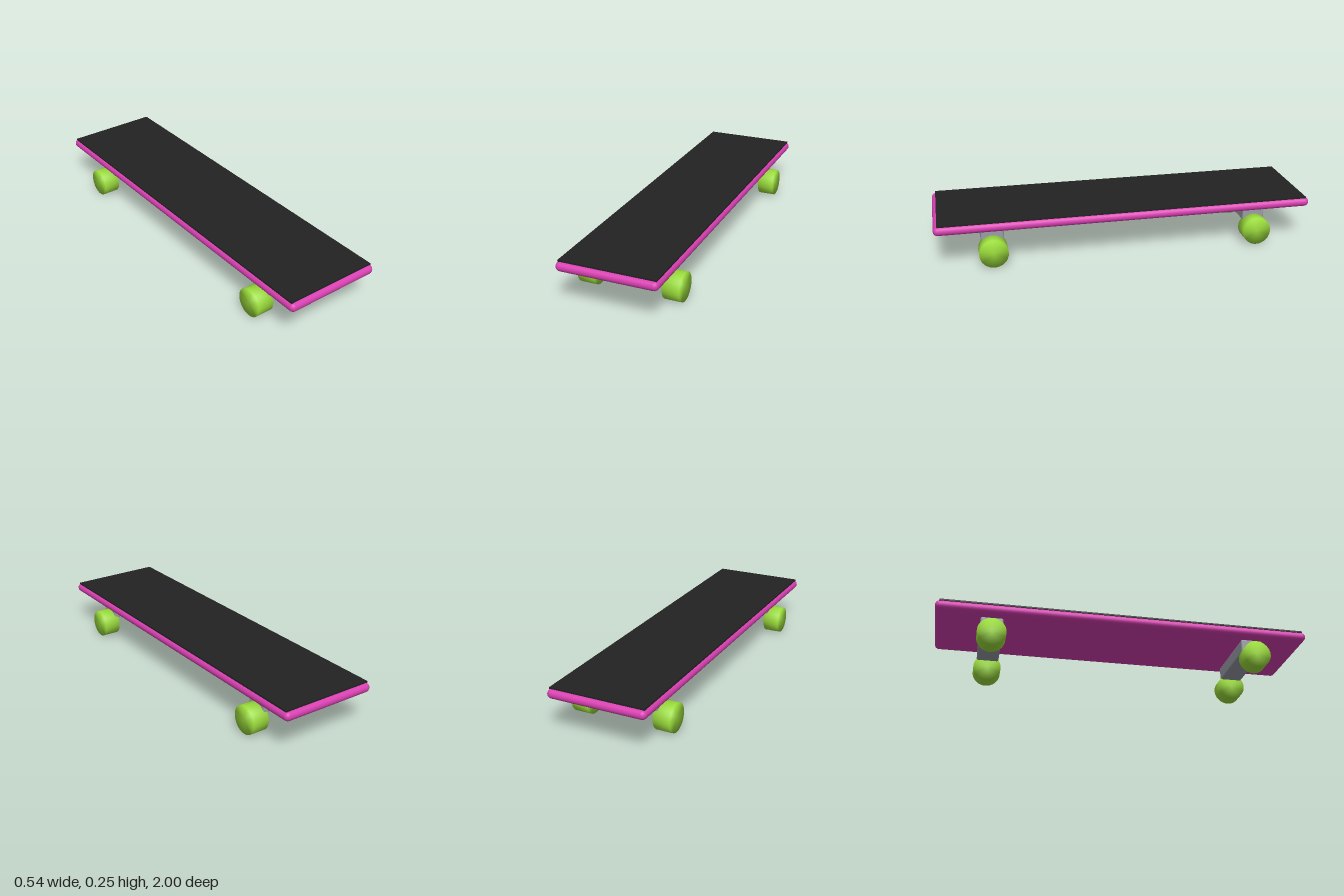
import * as THREE from 'three';
import { mergeVertices } from 'three/addons/utils/BufferGeometryUtils.js';
import { RoundedBoxGeometry } from 'three/addons/geometries/RoundedBoxGeometry.js';

function material(name, color) {
  const m = new THREE.MeshStandardMaterial({ color });
  m.name = name;
  return m;
}

// Cylinder along x whose rim is shaded softly into its end faces
function wheelGeometry(radius, width) {
  const g = new THREE.CylinderGeometry(radius, radius, width, 32);
  g.rotateZ(Math.PI / 2);
  g.deleteAttribute('normal');
  g.deleteAttribute('uv');
  const soft = mergeVertices(g);
  soft.computeVertexNormals();
  return soft;
}

export function createModel() {
  const pink = material('deckPink', 0xd940b2);
  const black = material('gripBlack', 0x222222);
  const grey = material('truckGrey', 0x9a9da8);
  const green = material('wheelGreen', 0x9bdc3c);

  const model = new THREE.Group();
  model.name = 'skateboard';
  const add = (name, geometry, mat, x, y, z) => {
    const mesh = new THREE.Mesh(geometry, mat);
    mesh.name = name;
    mesh.position.set(x, y, z);
    model.add(mesh);
  };

  // Deck with rounded edges, and the grip sheet on top
  add('deck', new RoundedBoxGeometry(0.523, 0.048, 2, 3, 0.0238), pink, 0, 0.2135, 0);
  add('gripTape', new THREE.BoxGeometry(0.502, 0.009, 1.96), black, 0, 0.2405, 0);

  // Trucks and wheels, front and back
  const truck = new RoundedBoxGeometry(0.4, 0.076, 0.12, 3, 0.01);
  const wheel = wheelGeometry(0.075, 0.09);
  for (const [end, z] of [['front', 0.705], ['back', -0.705]]) {
    add(end + 'Truck', truck, grey, 0, 0.152, z);
    for (const [side, x] of [['Left', 0.225], ['Right', -0.225]]) {
      add(end + side + 'Wheel', wheel, green, x, 0.075, z);
    }
  }
  return model;
}
